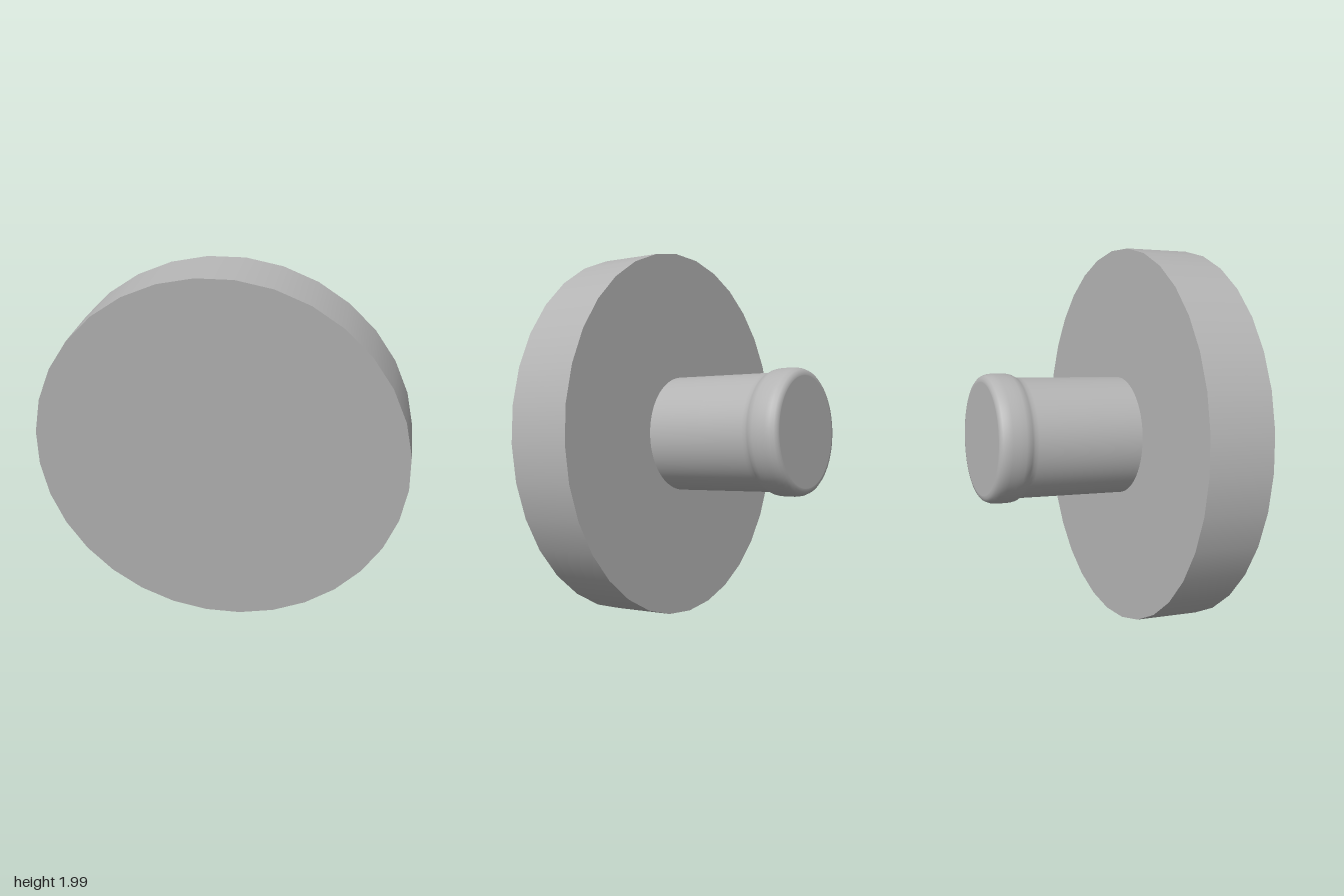
import * as THREE from 'three';

export function createModel() {
  const model = new THREE.Group();
  const grey = new THREE.MeshStandardMaterial({ color: 0xb4b4b4 });
  grey.name = 'plain grey';

  // Everything is turned around one slanted axis; y = 0 is the disc's inner face.
  const knob = new THREE.Group();
  knob.name = 'knob';
  knob.position.set(-0.02, 1.019, -0.078);
  const axis = new THREE.Vector3(0.88, 0.108, -0.462).normalize();
  knob.quaternion.setFromUnitVectors(new THREE.Vector3(0, 1, 0), axis);
  model.add(knob);

  // Wide flat disc
  const thickness = 0.345;
  const disc = new THREE.Mesh(new THREE.CylinderGeometry(0.988, 0.988, thickness, 32), grey);
  disc.name = 'disc';
  disc.position.y = -thickness / 2;
  knob.add(disc);

  // Stem with a slightly swollen, rounded collar at its end
  const profile = [
    [0.31, -0.02], [0.31, 0.3], [0.31, 0.56], [0.311, 0.58], [0.317, 0.595],
    [0.326, 0.61], [0.33, 0.63], [0.331, 0.66], [0.331, 0.7], [0.328, 0.725],
    [0.319, 0.746], [0.306, 0.757], [0.292, 0.76], [0.288, 0.76], [0, 0.76],
  ].map(([r, y]) => new THREE.Vector2(r, y));
  const stem = new THREE.Mesh(new THREE.LatheGeometry(profile, 64), grey);
  stem.name = 'stem';
  knob.add(stem);

  return model;
}
